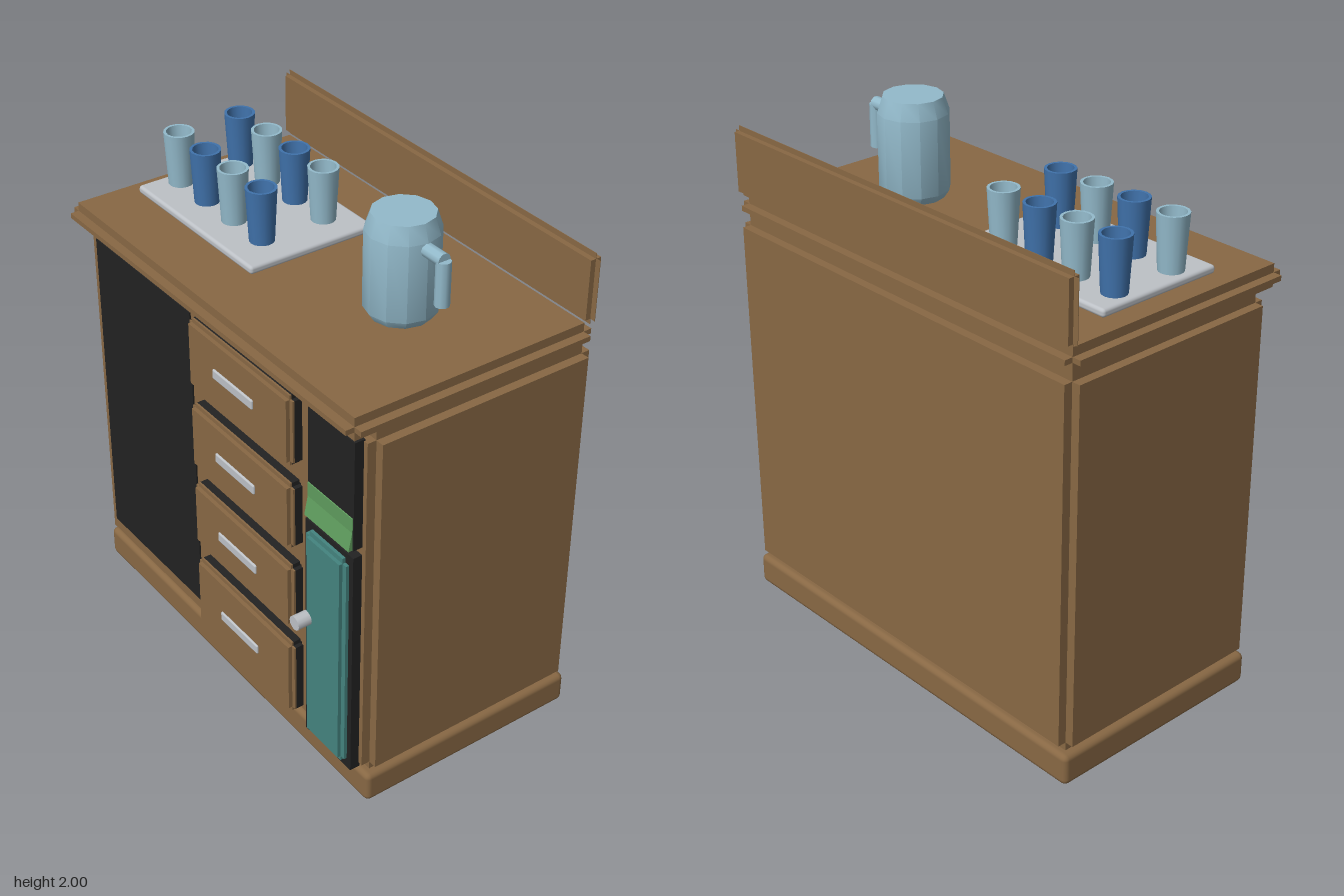
import * as THREE from 'three';
import { toCreasedNormals } from 'three/addons/utils/BufferGeometryUtils.js';
import { RoundedBoxGeometry } from 'three/addons/geometries/RoundedBoxGeometry.js';

const mat = (name, color) => {
  const m = new THREE.MeshStandardMaterial({ color });
  m.name = name;
  return m;
};

export function createModel() {
  const wood = mat('wood', 0x886844);
  const black = mat('black panel', 0x222222);
  const teal = mat('teal door', 0x44847f);
  const green = mat('green bin', 0x5f9c5d);
  const silver = mat('silver', 0xbdc1c6);
  const paleBlue = mat('pale blue', 0x93bacb);
  const deepBlue = mat('deep blue', 0x4072ab);

  const model = new THREE.Group();
  model.name = 'cabinet';

  const add = (name, geometry, material, x = 0, y = 0, z = 0, parent = model) => {
    const mesh = new THREE.Mesh(geometry, material);
    mesh.name = name;
    mesh.position.set(x, y, z);
    parent.add(mesh);
    return mesh;
  };

  // Box given by its limits on each axis
  const box = (name, material, [x0, x1], [y0, y1], [z0, z1], parent = model) =>
    add(name, new THREE.BoxGeometry(x1 - x0, y1 - y0, z1 - z0), material,
      (x0 + x1) / 2, (y0 + y1) / 2, (z0 + z1) / 2, parent);

  const rounded = (name, material, [x0, x1], [y0, y1], [z0, z1], r, parent = model) =>
    add(name, new RoundedBoxGeometry(x1 - x0, y1 - y0, z1 - z0, 2, r), material,
      (x0 + x1) / 2, (y0 + y1) / 2, (z0 + z1) / 2, parent);

  // Box with notched edges: three slabs, each reaching full size on one axis
  const notched = (name, material, xs, ys, zs, n) => {
    const group = new THREE.Group();
    group.name = name;
    model.add(group);
    const limits = [xs, ys, zs];
    for (let axis = 0; axis < 3; axis++) {
      const [x, y, z] = limits.map(([a, b], i) => (i === axis ? [a, b] : [a + n, b - n]));
      box(name + 'Slab', material, x, y, z, group);
    }
  };

  // Carcass
  rounded('base', wood, [-0.857, 0.857], [0, 0.122], [-0.505, 0.395], 0.022);
  notched('body', wood, [-0.857, 0.857], [0.122, 1.545], [-0.505, 0.395], 0.033);
  notched('countertop', wood, [-0.857, 0.857], [1.543, 1.628], [-0.505, 0.479], 0.033);
  notched('backboard', wood, [-0.857, 0.857], [1.626, 1.887], [-0.505, -0.463], 0.02);

  // Dark panels on the front
  box('leftPanel', black, [-0.795, -0.173], [0.207, 1.479], [0.39, 0.401]);
  box('nichePanel', black, [0.561, 0.806], [1.1, 1.518], [0.39, 0.43]);
  box('doorFrame', black, [0.545, 0.806], [0.138, 1.069], [0.39, 0.43]);

  // Drawers: bottom, top and handle height
  const drawers = [
    [1.239, 1.51, 1.375], [0.9, 1.165, 1.03], [0.558, 0.824, 0.686], [0.165, 0.48, 0.32],
  ];
  for (const [y0, y1, h] of drawers) {
    box('drawerBack', black, [-0.098, 0.471], [y0 + 0.016, y1 - 0.016], [0.39, 0.431]);
    box('drawerBackSides', black, [-0.114, 0.487], [y0 + 0.016, y1 - 0.016], [0.4, 0.43]);
    box('drawerBackEnds', black, [-0.098, 0.471], [y0, y1], [0.4, 0.43]);
    box('drawerEdge', wood, [-0.114, 0.487], [y0 + 0.016, y1 - 0.016], [0.43, 0.437]);
    box('drawerRail', wood, [-0.098, 0.471], [y0, y1], [0.43, 0.437]);
    box('drawerFront', wood, [-0.098, 0.471], [y0 + 0.016, y1 - 0.016], [0.43, 0.452]);
    rounded('drawerHandle', silver, [0.05, 0.284], [h - 0.019, h + 0.019], [0.442, 0.459], 0.006);
  }

  // Narrow door with its knob
  box('doorEdge', teal, [0.566, 0.785], [0.18, 1.028], [0.43, 0.442]);
  box('doorRail', teal, [0.586, 0.765], [0.16, 1.048], [0.43, 0.442]);
  box('doorFront', teal, [0.586, 0.765], [0.18, 1.028], [0.43, 0.455]);
  const knob = add('doorKnob', new THREE.CylinderGeometry(0.027, 0.027, 0.055, 12), silver, 0.588, 0.687, 0.48);
  knob.rotation.x = Math.PI / 2;

  // Bin with a front that leans back
  const side = new THREE.Shape();
  [[0.39, 1.1], [0.446, 1.1], [0.432, 1.17], [0.432, 1.225], [0.41, 1.245], [0.39, 1.245]]
    .forEach(([z, y], i) => (i ? side.lineTo(-z, y) : side.moveTo(-z, y)));
  const binGeometry = new THREE.ExtrudeGeometry(side, { depth: 0.24, bevelEnabled: false });
  binGeometry.rotateY(Math.PI / 2);
  add('bin', binGeometry, green, 0.561);

  // Tray with two rows of cups
  rounded('tray', silver, [-0.755, -0.037], [1.632, 1.663], [-0.275, 0.237], 0.012);
  const lathe = (points, sides) => toCreasedNormals(
    new THREE.LatheGeometry(points.map(([r, y]) => new THREE.Vector2(r, y)), sides), 0.6);
  const cupGeometry = lathe(
    [[0, 0], [0.045, 0], [0.056, 0.205], [0.046, 0.205], [0.037, 0.015], [0, 0.015]], 16);
  for (let row = 0; row < 2; row++) {
    for (let i = 0; i < 4; i++) {
      add('cup', cupGeometry, (row + i) % 2 ? paleBlue : deepBlue,
        -0.685 + i * 0.171, 1.66, row ? 0.1 : -0.157);
    }
  }

  // Jug with an angled handle
  const jug = new THREE.Group();
  jug.name = 'jug';
  jug.position.set(0.427, 1.63, -0.035);
  model.add(jug);
  const jugProfile = [[0, 0], [0.108, 0], [0.128, 0.03], [0.128, 0.31], [0.108, 0.37], [0, 0.37]];
  add('jugBody', lathe(jugProfile, 12), paleBlue, 0, 0, 0, jug);
  const arm = add('jugHandleArm', new THREE.CylinderGeometry(0.025, 0.025, 0.105, 10), paleBlue,
    0.155, 0.286, 0, jug);
  arm.rotation.z = Math.PI / 2;
  add('jugHandleGrip', new THREE.CylinderGeometry(0.026, 0.026, 0.16, 10), paleBlue,
    0.204, 0.205, 0, jug);

  return model;
}
